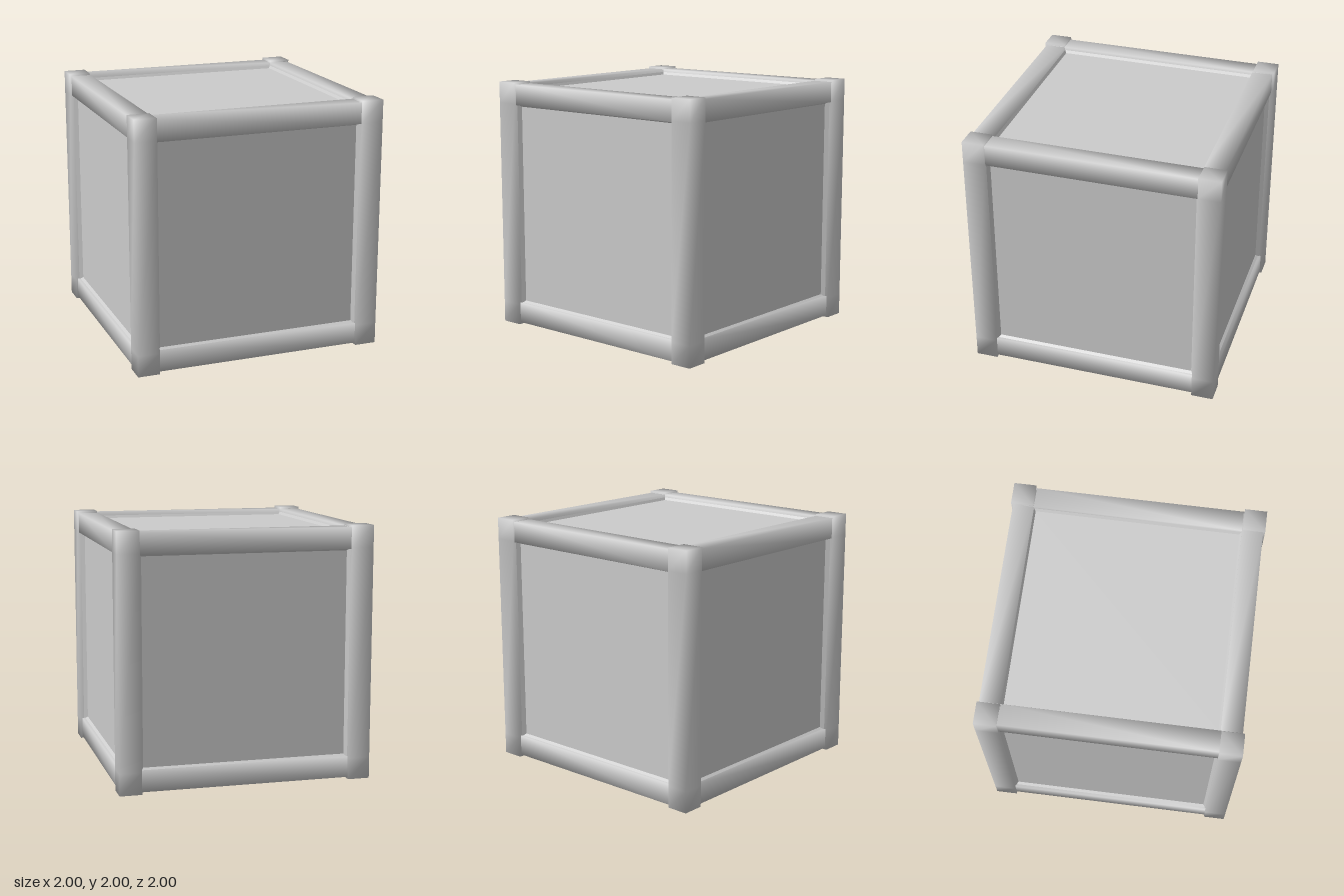
import * as THREE from 'three';
import { mergeVertices } from 'three/addons/utils/BufferGeometryUtils.js';

const material = new THREE.MeshStandardMaterial({ color: 0xcccccc });
const trimMaterial = new THREE.MeshStandardMaterial({
  color: 0xcccccc, flatShading: true, side: THREE.DoubleSide,
});

// Square bar along y with edge loops near its ends and softened shading
function barGeometry(width, length, loop) {
  const geo = new THREE.BoxGeometry(width, length, width, 1, 3, 1);
  const pos = geo.attributes.position;
  for (let i = 0; i < pos.count; i++) {
    const y = pos.getY(i);
    if (Math.abs(y) < length * 0.4) pos.setY(i, Math.sign(y) * loop);
  }
  geo.deleteAttribute('uv');
  geo.deleteAttribute('normal');
  const smooth = mergeVertices(geo);
  smooth.computeVertexNormals();
  return smooth;
}

export function createModel() {
  const model = new THREE.Group();
  model.name = 'crate';

  const add = (geometry, name, mat = material) => {
    const mesh = new THREE.Mesh(geometry, mat);
    mesh.name = name;
    model.add(mesh);
    return mesh;
  };

  // Inner body whose sides form the recessed panels
  add(new THREE.BoxGeometry(1.88, 1.88, 1.88), 'panelBody').position.y = 1;

  // Corner posts, and rails between them
  const post = barGeometry(0.174, 2, 0.83);
  const rail = barGeometry(0.165, 1.94, 0.83);
  for (const a of [-1, 1]) {
    for (const b of [-1, 1]) {
      add(post, 'cornerPost').position.set(a * 0.913, 1, b * 0.913);

      const railX = add(rail, 'crossRail');
      railX.rotation.z = Math.PI / 2;
      railX.position.set(0, 1 + a * 0.902, b * 0.902);

      const railZ = add(rail, 'sideRail');
      railZ.rotation.x = Math.PI / 2;
      railZ.position.set(a * 0.902, 1 + b * 0.902, 0);
    }
  }

  // Mitred sloping trim around each panel
  const trim = new THREE.CylinderGeometry(0.826 * Math.SQRT2, 0.805 * Math.SQRT2, 0.03, 4, 1, true);
  trim.rotateY(Math.PI / 4);
  trim.translate(0, 0.955, 0);
  const turns = [
    [0, 0], [Math.PI, 0], [Math.PI / 2, 0], [-Math.PI / 2, 0], [0, Math.PI / 2], [0, -Math.PI / 2],
  ];
  for (const [rx, rz] of turns) {
    const mesh = add(trim, 'panelTrim', trimMaterial);
    mesh.rotation.set(rx, 0, rz);
    mesh.position.y = 1;
  }

  return model;
}
